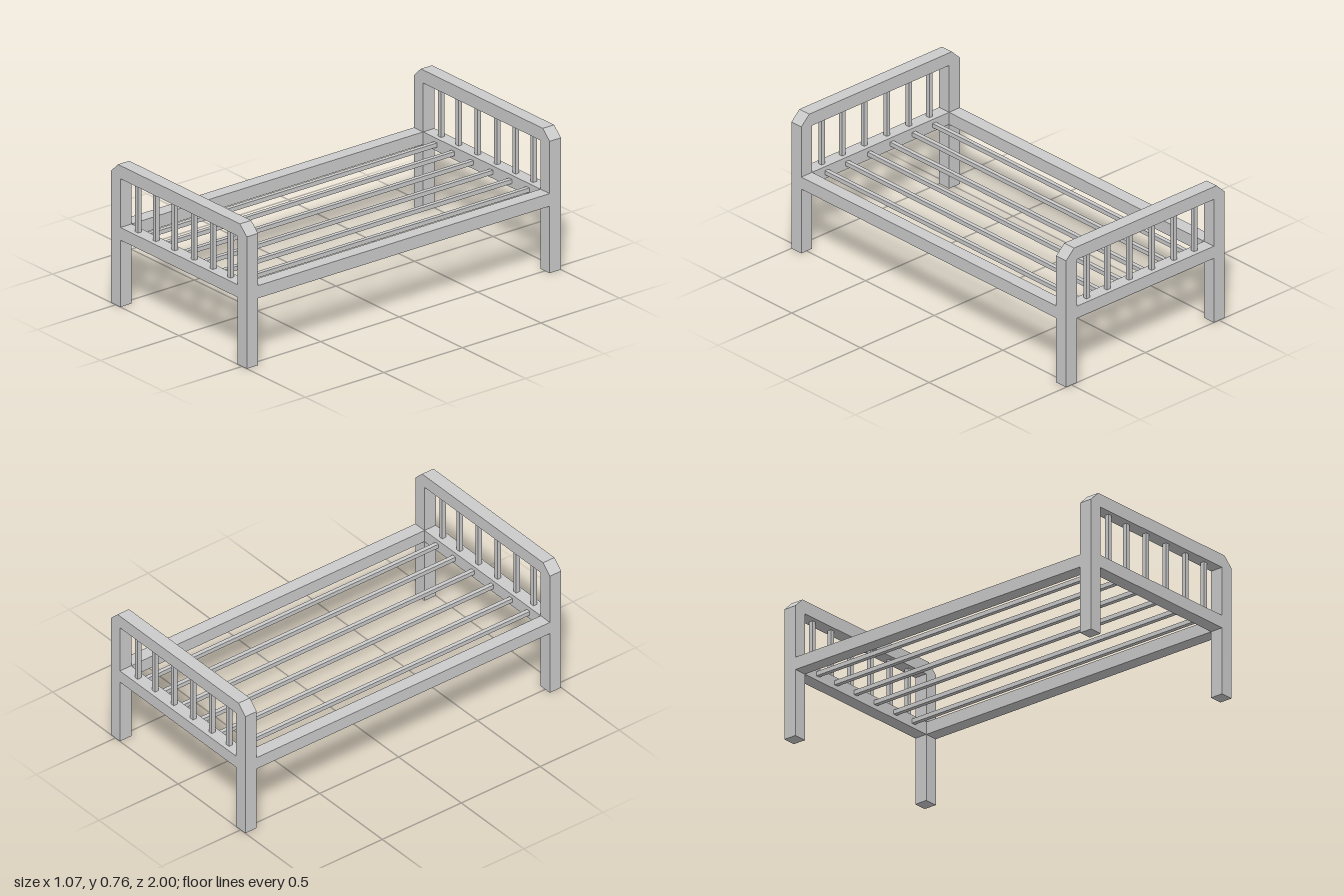
import * as THREE from 'three';

const W = 0.537, INNER = 0.464;          // half widths: outside and between the posts
const TOP = 0.763, RAIL_LOW = 0.361, RAIL_HIGH = 0.429;
const THICK = 0.072, BAR = 0.023;
const BAR_X = [-0.365, -0.226, -0.077, 0.077, 0.226, 0.365];

const material = new THREE.MeshStandardMaterial({ color: 0xcccccc, flatShading: true });

function addMesh(parent, name, geometry, x = 0, y = 0, z = 0) {
  const mesh = new THREE.Mesh(geometry, material);
  mesh.name = name;
  mesh.position.set(x, y, z);
  parent.add(mesh);
}

// Legs, cross rail and chamfered top rail as one outline with an opening
function frameGeometry() {
  const outline = [
    [-W, 0], [-INNER, 0], [-INNER, RAIL_LOW], [INNER, RAIL_LOW], [INNER, 0], [W, 0],
    [W, 0.711], [0.483, TOP], [-0.483, TOP], [-W, 0.711],
  ];
  const opening = [[-INNER, RAIL_HIGH], [-INNER, 0.692], [INNER, 0.692], [INNER, RAIL_HIGH]];
  const points = (list) => list.map(([x, y]) => new THREE.Vector2(x, y));
  const shape = new THREE.Shape(points(outline));
  shape.holes.push(new THREE.Path(points(opening)));
  return new THREE.ExtrudeGeometry(shape, { depth: THICK, bevelEnabled: false })
    .translate(0, 0, -THICK / 2);
}

function createEnd(name, z) {
  const end = new THREE.Group();
  end.name = name;
  end.position.z = z;
  addMesh(end, 'endFrame', frameGeometry());
  // Upright spindles in the opening
  const height = 0.692 - RAIL_HIGH;
  for (const x of BAR_X) {
    addMesh(end, 'spindle', new THREE.BoxGeometry(BAR, height, BAR), x, RAIL_HIGH + height / 2, 0);
  }
  return end;
}

export function createModel() {
  const bed = new THREE.Group();
  bed.name = 'bedFrame';
  const endZ = 1 - THICK / 2;
  bed.add(createEnd('headboard', -endZ), createEnd('footboard', endZ));

  // Side rails joining the two ends
  const length = 2 - 2 * THICK;
  const railY = (RAIL_LOW + RAIL_HIGH) / 2;
  for (const side of [-1, 1]) {
    addMesh(bed, side > 0 ? 'leftSideRail' : 'rightSideRail',
      new THREE.BoxGeometry(W - INNER, RAIL_HIGH - RAIL_LOW, length),
      side * (W + INNER) / 2, railY, 0);
  }

  // Lengthwise slats
  for (const x of BAR_X) {
    addMesh(bed, 'slat', new THREE.BoxGeometry(BAR, BAR, length), x, railY, 0);
  }
  return bed;
}
